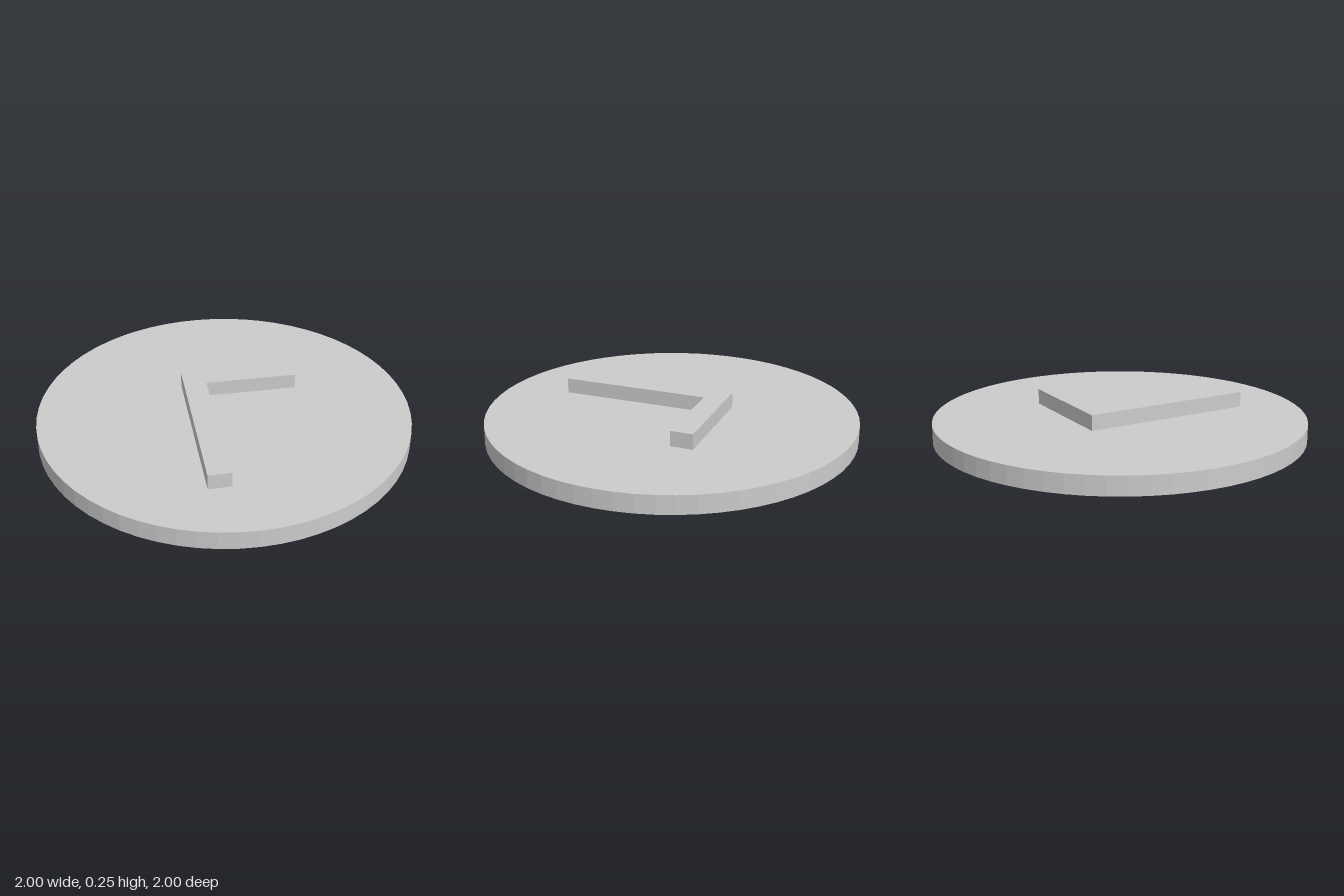
import * as THREE from 'three';

const FACE_TOP = 0.17, FACE_BOTTOM = 0.083, RIM_BOTTOM = 0.07, TOP = 0.253;

export function createModel() {
  const group = new THREE.Group();
  const material = new THREE.MeshStandardMaterial({ color: 0xcccccc, flatShading: true });

  const add = (name, geometry) => {
    const mesh = new THREE.Mesh(geometry, material);
    mesh.name = name;
    group.add(mesh);
    return mesh;
  };

  // Round disc: flush on top, shallow recess inside the rim underneath
  const profile = [
    [0, FACE_BOTTOM], [0.915, FACE_BOTTOM], [0.915, RIM_BOTTOM],
    [1, RIM_BOTTOM], [1, FACE_TOP], [0, FACE_TOP],
  ].map(([r, y]) => new THREE.Vector2(r, y));
  add('disc', new THREE.LatheGeometry(profile, 64));

  // Bent bar outline as [x, z], with one long and one short arm
  const outline = [
    [0.06, -0.333], [0.497, 0.105], [0.41, 0.19],
    [0.06, -0.16], [-0.515, 0.413], [-0.602, 0.328],
  ];
  const bentBar = (name, side, bottom, top) => {
    const shape = new THREE.Shape(outline.map(([x, z]) => new THREE.Vector2(side * x, -z)));
    const geometry = new THREE.ExtrudeGeometry(shape, { depth: top - bottom, bevelEnabled: false });
    geometry.rotateX(-Math.PI / 2);
    add(name, geometry).position.y = bottom;
  };

  // Raised on both faces, mirrored underneath
  bentBar('topBentBar', 1, FACE_TOP, TOP);
  bentBar('bottomBentBar', -1, 0, FACE_BOTTOM);

  return group;
}
